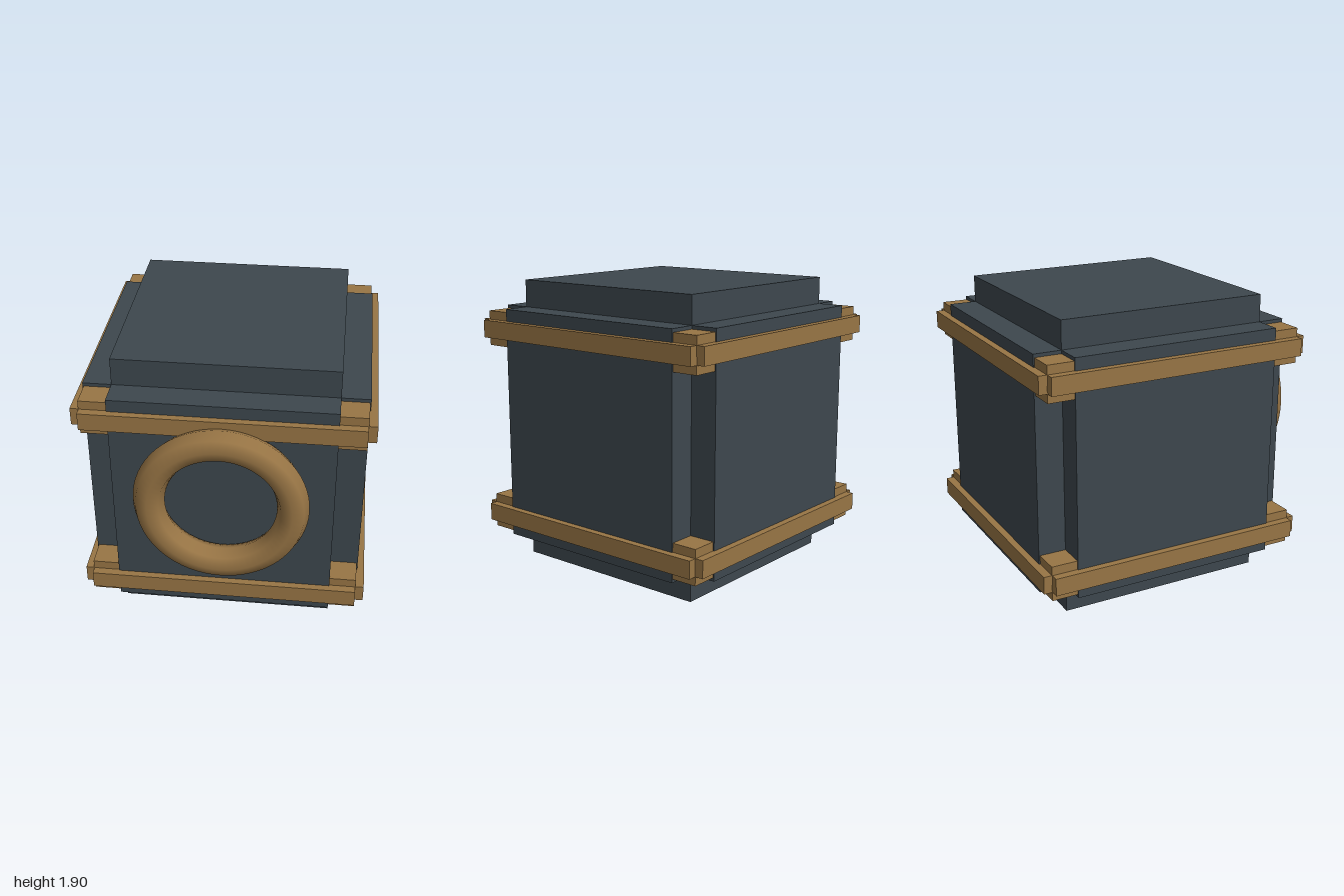
import * as THREE from 'three';

export function createModel() {
  const model = new THREE.Group();
  model.name = 'strappedCrate';
  const dark = new THREE.MeshStandardMaterial({ color: 0x3d474e });
  const gold = new THREE.MeshStandardMaterial({ color: 0x987545 });

  // The crate sits slightly back so the ring on the front is inside the footprint
  const crate = new THREE.Group();
  crate.name = 'crate';
  crate.position.set(0, 0.95, -0.073);
  model.add(crate);

  const box = (name, material, w, h, d, x = 0, y = 0, z = 0) => {
    const mesh = new THREE.Mesh(new THREE.BoxGeometry(w, h, d), material);
    mesh.name = name;
    mesh.position.set(x, y, z);
    crate.add(mesh);
  };

  // Body: three crossing blocks leave stepped ends and notched corners
  box('core', dark, 1.4, 1.9, 1.4);
  box('sidePanels', dark, 1.76, 1.54, 1.4);
  box('frontBackPanels', dark, 1.4, 1.54, 1.76);

  for (const v of [-1, 1]) {
    const bandY = v * 0.633;
    for (const s of [-1, 1]) {
      // Straps around the body
      box('frontBackStrap', gold, 1.74, 0.115, 0.115, 0, bandY, s * 0.868);
      box('sideStrap', gold, 0.115, 0.115, 1.74, s * 0.868, bandY, 0);
      // Corner blocks in the notches
      for (const t of [-1, 1])
        box('cornerBlock', gold, 0.23, 0.23, 0.23, s * 0.757, bandY, t * 0.757);
    }
  }

  // Ring on the front panel
  const ring = new THREE.Mesh(new THREE.TorusGeometry(0.45, 0.1, 8, 64), gold);
  ring.name = 'frontRing';
  ring.position.set(0, 1.065, 0.9);
  model.add(ring);

  return model;
}
